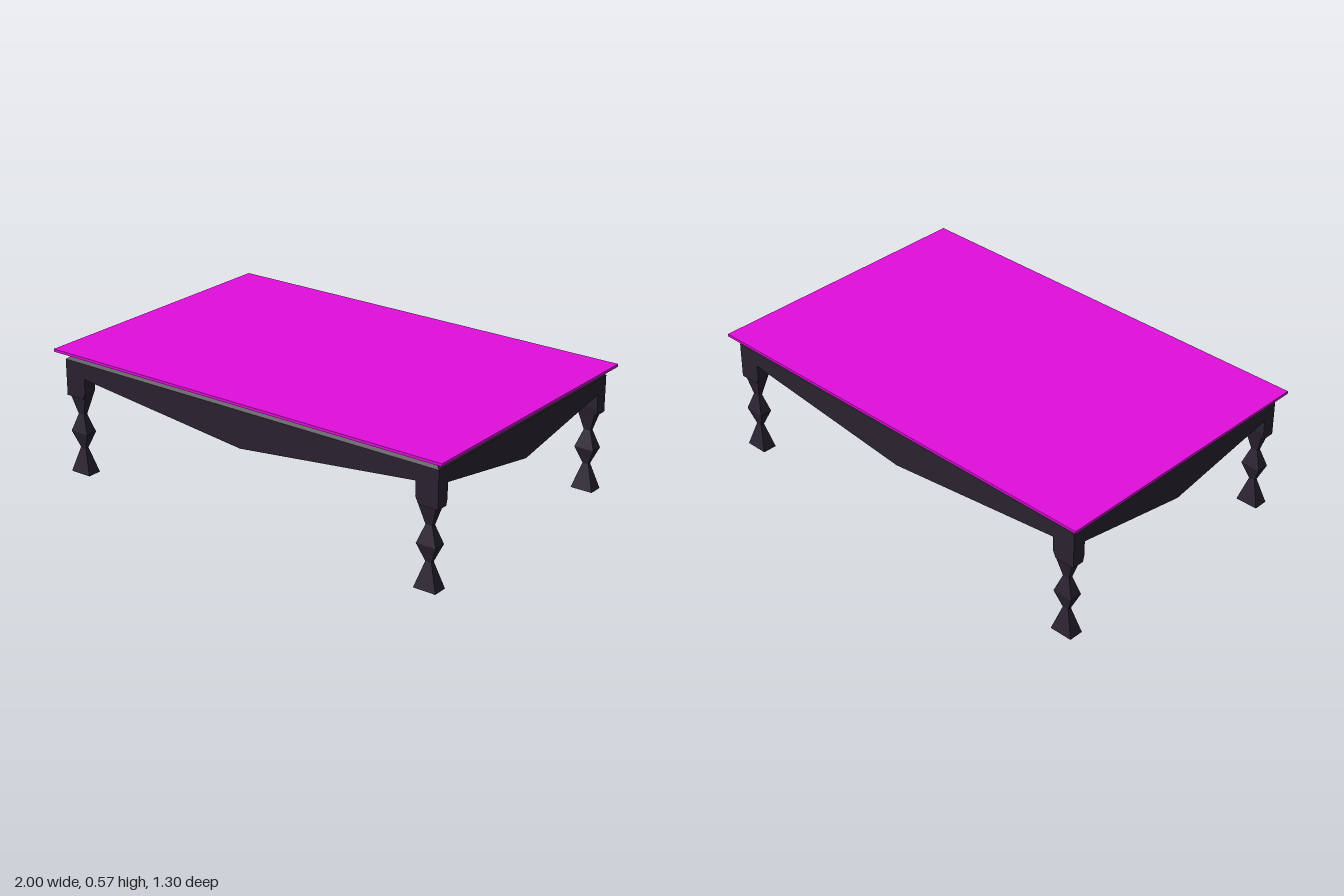
import * as THREE from 'three';

const wood = new THREE.MeshStandardMaterial({ color: 0x2b2331, flatShading: true, side: THREE.DoubleSide });
const magenta = new THREE.MeshStandardMaterial({ color: 0xe00edb });

const X = 0.965, Z = 0.617;    // outer faces of the frame
const IX = 0.86, IZ = 0.555;   // inner faces of the legs
const RIM = 0.45, SAG = 0.355; // lower edge of the apron at the legs and mid-span

// Rectangular sections [y, x0, x1, z0, z1], bottom to top, joined and capped
function loft(sections) {
  const pos = [], idx = [];
  for (const [y, x0, x1, z0, z1] of sections) {
    pos.push(x0, y, z1, x1, y, z1, x1, y, z0, x0, y, z0);
  }
  const n = sections.length;
  for (let s = 0; s < n - 1; s++) {
    for (let i = 0; i < 4; i++) {
      const a = s * 4 + i, b = s * 4 + (i + 1) % 4;
      idx.push(a, b, b + 4, a, b + 4, a + 4);
    }
  }
  const t = (n - 1) * 4;
  idx.push(0, 2, 1, 0, 3, 2, t, t + 1, t + 2, t, t + 2, t + 3);
  return finish(pos, idx);
}

function finish(pos, idx) {
  const g = new THREE.BufferGeometry();
  g.setAttribute('position', new THREE.Float32BufferAttribute(pos, 3));
  g.setIndex(idx);
  const flat = g.toNonIndexed();
  flat.computeVertexNormals();
  return flat;
}

// Polygons with 3 or 4 corners
function polygons(list) {
  const pos = [], idx = [];
  for (const p of list) {
    const o = pos.length / 3;
    p.forEach(v => pos.push(...v));
    idx.push(o, o + 1, o + 2);
    if (p.length === 4) idx.push(o, o + 2, o + 3);
  }
  return finish(pos, idx);
}

function add(parent, name, geometry, material) {
  const m = new THREE.Mesh(geometry, material);
  m.name = name;
  parent.add(m);
  return m;
}

export function createModel() {
  const table = new THREE.Group();
  table.name = 'table';

  // Thin coloured top
  const top = add(table, 'tableTop', new THREE.BoxGeometry(2, 0.012, 1.3), magenta);
  top.position.y = 0.561;

  // Frame with a bevelled upper edge
  add(table, 'frame', loft([
    [RIM, -X, X, -Z, Z], [0.52, -X, X, -Z, Z], [0.553, -0.915, 0.915, -0.575, 0.575],
  ]), wood);

  // One quarter of the sagging apron and its hollowed underside
  const fMid = [0, SAG, Z], fEnd = [IX, RIM, Z], sMid = [X, SAG, 0], sEnd = [X, RIM, IZ];
  const inner = [IX, RIM, IZ], fIn = [0, 0.412, IZ], sIn = [IX, RIM, 0], centre = [0, 0.445, 0];
  const apron = polygons([
    [fMid, fEnd, [0, RIM, Z]],
    [sMid, [X, RIM, 0], sEnd],
    [fMid, fIn, inner, fEnd],
    [sMid, sEnd, inner, sIn],
    [fIn, centre, sIn, inner],
  ]);

  // Corner block above each leg
  const block = loft([
    [SAG, 0.875, X, 0.562, Z], [0.385, IX, X, IZ, Z], [0.47, IX, X, IZ, Z],
  ]);

  // Faceted leg: [y, half width, half depth]
  const leg = loft([
    [0, 0.052, 0.033], [0.115, 0.014, 0.008], [0.19, 0.046, 0.028],
    [0.27, 0.016, 0.009], [0.385, 0.05, 0.03],
  ].map(([y, w, d]) => [y, 0.91 - w, 0.91 + w, 0.586 - d, 0.586 + d]));

  // Mirror the quarter into all four corners
  for (const sx of [1, -1]) {
    for (const sz of [1, -1]) {
      const corner = new THREE.Group();
      corner.name = (sz > 0 ? 'front' : 'back') + (sx > 0 ? 'Left' : 'Right') + 'Corner';
      add(corner, 'apron', apron, wood);
      add(corner, 'cornerBlock', block, wood);
      add(corner, 'leg', leg, wood);
      corner.scale.set(sx, 1, sz);
      table.add(corner);
    }
  }
  return table;
}
